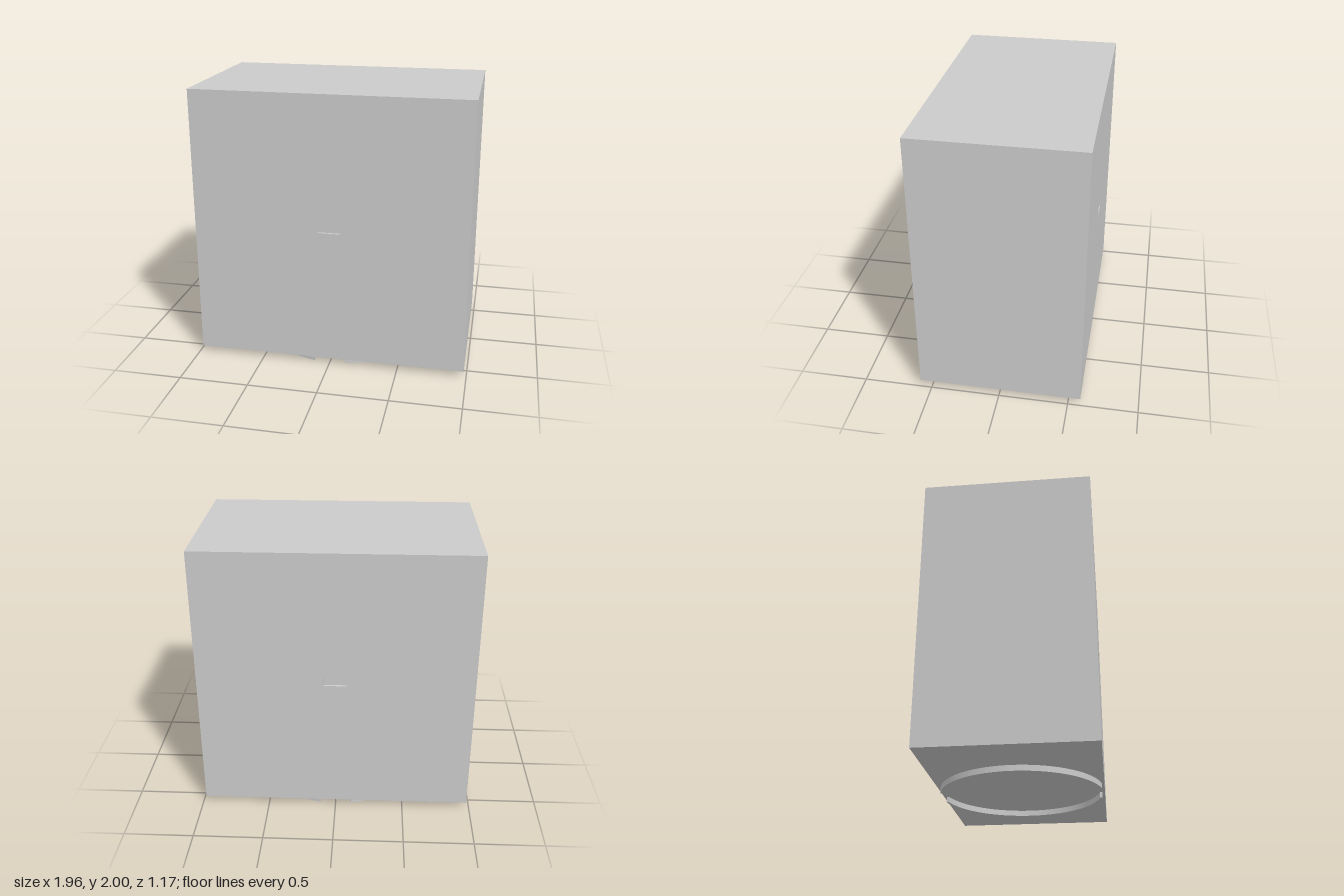
import * as THREE from 'three';

const material = new THREE.MeshStandardMaterial({ color: 0xcccccc, flatShading: true });

export function createModel() {
  const model = new THREE.Group();
  const X = 0.98, Z = 0.587, Y0 = 0.04, Y1 = 2, T = 0.016; // outer half sizes, heights, board thickness
  const slot = { x: 0.08, y0: 1.02, y1: 1.085 };

  // Board spanning two opposite corners
  function board(name, x0, x1, y0, y1, z0, z1) {
    const mesh = new THREE.Mesh(new THREE.BoxGeometry(x1 - x0, y1 - y0, z1 - z0), material);
    mesh.position.set((x0 + x1) / 2, (y0 + y1) / 2, (z0 + z1) / 2);
    mesh.name = name;
    model.add(mesh);
  }

  // Top, floor and side walls, between the two panels
  const zi = Z - T;
  board('topBoard', -X, X, Y1 - T, Y1, -zi, zi);
  board('floorBoard', -X, X, Y0, Y0 + T, -zi, zi);
  board('leftWall', X - T, X, Y0 + T, Y1 - T, -zi, zi);
  board('rightWall', -X, -X + T, Y0 + T, Y1 - T, -zi, zi);

  // Front and back panels, each with a hand slot
  for (const side of [1, -1]) {
    const shape = new THREE.Shape([
      new THREE.Vector2(-X, Y0), new THREE.Vector2(X, Y0),
      new THREE.Vector2(X, Y1), new THREE.Vector2(-X, Y1),
    ]);
    shape.holes.push(new THREE.Path([
      new THREE.Vector2(-slot.x, slot.y0), new THREE.Vector2(-slot.x, slot.y1),
      new THREE.Vector2(slot.x, slot.y1), new THREE.Vector2(slot.x, slot.y0),
    ]));
    const panel = new THREE.Mesh(new THREE.ExtrudeGeometry(shape, { depth: T, bevelEnabled: false }), material);
    panel.position.z = side > 0 ? zi : -Z;
    panel.name = side > 0 ? 'frontPanel' : 'backPanel';
    model.add(panel);
  }

  // Thin base ring in two arcs, open at the front and back
  const R = 0.58, r = 0.562, gap = Math.asin(0.113 / R);
  for (const side of [0, 1]) {
    const a0 = -Math.PI / 2 + gap + side * Math.PI;
    const a1 = Math.PI / 2 - gap + side * Math.PI;
    const arc = new THREE.Shape();
    arc.absarc(0, 0, R, a0, a1, false);
    arc.absarc(0, 0, r, a1, a0, true);
    const geometry = new THREE.ExtrudeGeometry(arc, { depth: Y0, bevelEnabled: false, curveSegments: 32 });
    geometry.rotateX(-Math.PI / 2);
    const foot = new THREE.Mesh(geometry, material);
    foot.name = side ? 'rightBaseArc' : 'leftBaseArc';
    model.add(foot);
  }
  return model;
}
